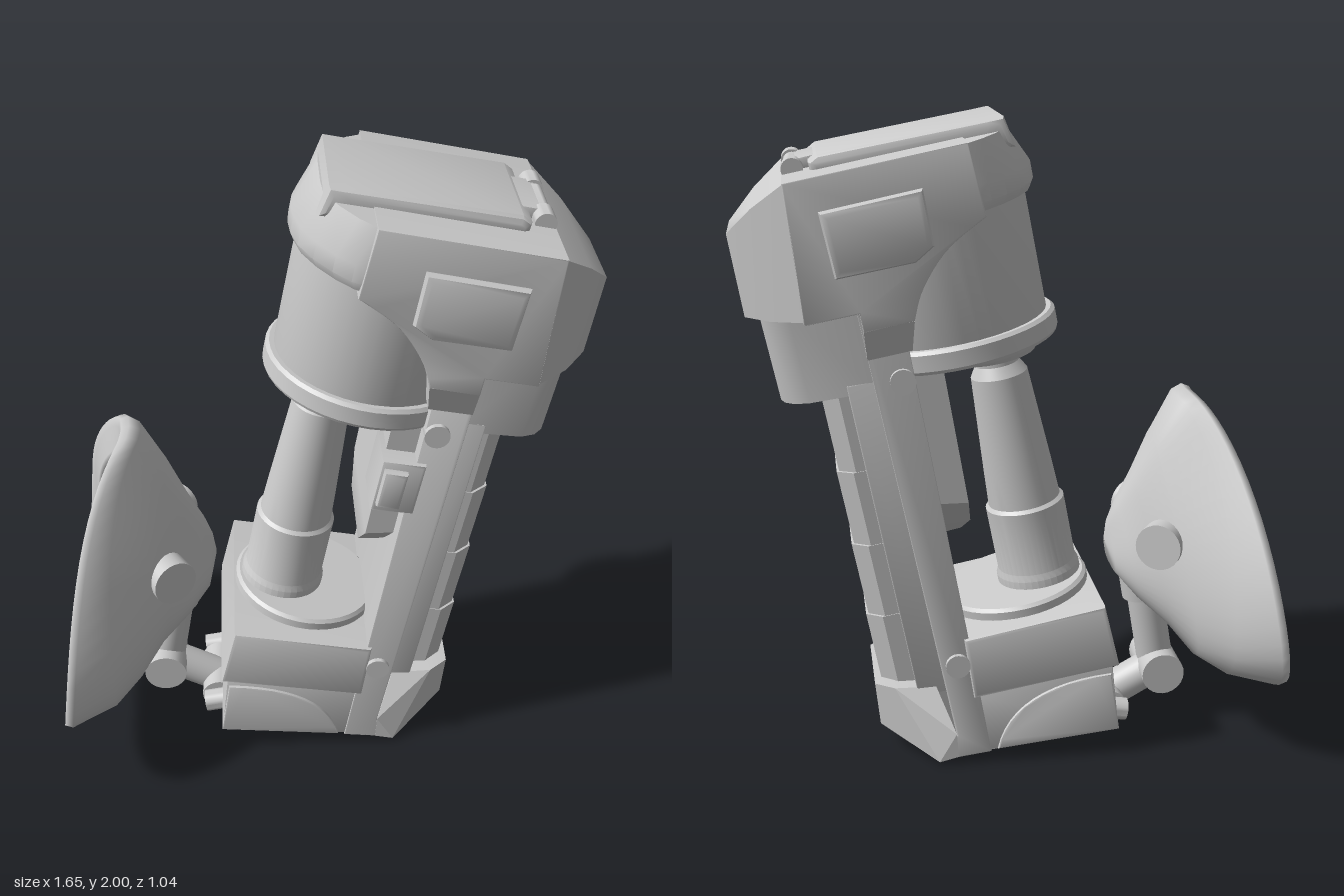
import * as THREE from 'three';
import { toCreasedNormals } from 'three/addons/utils/BufferGeometryUtils.js';
import { ConvexGeometry } from 'three/addons/geometries/ConvexGeometry.js';

const TILT = 0.19;
const mat = new THREE.MeshStandardMaterial({ color: 0xcccccc });
const shellMat = new THREE.MeshStandardMaterial({ color: 0xcccccc, side: THREE.DoubleSide });
const v2 = (p) => new THREE.Vector2(...p);

export function createModel() {
  const model = new THREE.Group();

  const add = (name, geo, crease = 0.6, m = mat) => {
    const mesh = new THREE.Mesh(crease ? toCreasedNormals(geo, crease) : geo, m);
    mesh.name = name;
    model.add(mesh);
    return mesh;
  };
  // side outline extruded from z0 to z1, chamfered by b
  const prism = (name, pts, z0, z1, b = 0.01) => {
    const geo = new THREE.ExtrudeGeometry(new THREE.Shape(pts.map(v2)), {
      depth: z1 - z0 - 2 * b, bevelEnabled: b > 0, bevelSize: b, bevelThickness: b, bevelOffset: -b, bevelSegments: 2,
    });
    geo.translate(0, 0, z0 + b);
    return add(name, geo);
  };
  // hull of points given as [x, y, half width]
  const hull = (name, pts, crease = 0.3) => add(name, new ConvexGeometry(pts.flatMap(([x, y, z]) =>
    [new THREE.Vector3(x, y, z), new THREE.Vector3(x, y, -z)])), crease);
  // lathe standing on a tilted axis; profile is [radius, height along axis]
  const lathe = (name, x, y, profile) => {
    const mesh = add(name, new THREE.LatheGeometry(profile.map(v2), 40), 0.4);
    mesh.position.set(x, y, 0);
    mesh.rotation.z = -TILT;
    return mesh;
  };
  // cylinder between two points
  const rod = (name, a, b, r0, r1 = r0) => {
    const p = new THREE.Vector3(...a), q = new THREE.Vector3(...b), d = q.clone().sub(p);
    const mesh = add(name, new THREE.CylinderGeometry(r1, r0, d.length(), 24));
    mesh.position.copy(p).add(q).multiplyScalar(0.5);
    mesh.quaternion.setFromUnitVectors(new THREE.Vector3(0, 1, 0), d.normalize());
    return mesh;
  };

  // head: side body with curved cutout, lower flare, sloping rounded cap and tapered nose
  const arc = new THREE.SplineCurve([[0.305, 1.45], [0.28, 1.54], [0.21, 1.65], [0.1, 1.74]].map(v2))
    .getPoints(14).map((p) => [p.x, p.y]);
  prism('head', [[0.15, 1.945], [0.66, 1.842], [0.615, 1.445], [0.46, 1.475], [0.45, 1.42], ...arc], -0.33, 0.33, 0.004);
  hull('headFlare', [[0.305, 1.45, 0.328], [0.45, 1.425, 0.328], [0.31, 1.355, 0.29], [0.44, 1.33, 0.29]]);
  hull('headNose', [[0.655, 1.842, 0.33], [0.615, 1.455, 0.33], [0.825, 1.675, 0.12], [0.785, 1.43, 0.12],
    [0.75, 1.76, 0.225], [0.71, 1.44, 0.235]], 0.9);
  const rim = [[0.3, 0.328], [0.14, 0.328], [0.09, 0.31], [0.04, 0.27], [-0.01, 0.21], [-0.05, 0.14], [-0.068, 0.07], [-0.073, 0.01]];
  const cap = hull('headCap', [
    ...rim.map(([x, z]) => [x + 0.015, -0.055, z * 0.98]),
    ...rim.map(([x, z]) => [x, -0.03, z]),
    ...rim.map(([x, z]) => [x, 0.02, z]),
    ...rim.map(([x, z]) => [Math.max(x + 0.03, -0.025), 0.09, z]),
    ...rim.map(([x, z]) => [Math.max(x + 0.04, -0.015), 0.136, z]),
  ], 0.55);
  cap.position.set(0, 1.83, 0);
  cap.rotation.z = -TILT;

  // hinged lid
  prism('lid', [[-0.005, 1.915], [0.03, 2], [0.08, 1.99], [0.56, 1.9], [0.585, 1.88], [0.575, 1.83], [0.1, 1.9]], -0.193, 0.193, 0.02);
  for (const [z, l, r] of [[-0.11, 0.07, 0.032], [0, 0.13, 0.026], [0.11, 0.07, 0.032]])
    rod('hingeKnuckle', [0.63, 1.857, z - l / 2], [0.63, 1.857, z + l / 2], r);
  prism('hingeLeaf', [[0.56, 1.895], [0.63, 1.88], [0.625, 1.845], [0.55, 1.855]], -0.1, 0.1, 0.005);

  // raised side panels
  for (const z of [-0.343, 0.343])
    prism('sidePanel', [[0.278, 1.825], [0.565, 1.765], [0.525, 1.578], [0.3, 1.62], [0.248, 1.665]], z - 0.022, z + 0.022, 0.02);

  // barrel under the head with collar ring
  lathe('barrel', 0.15, 1.33, [[0, -0.03], [0.27, -0.03], [0.285, 0.02], [0.285, 0.5], [0, 0.5]]);
  lathe('barrelRing', 0.15, 1.33, [[0.26, -0.035], [0.305, -0.03], [0.31, -0.02], [0.31, 0.03], [0.3, 0.04], [0.26, 0.04]]);
  lathe('lens', 0.04, 1.285, [[0, -0.022], [0.13, -0.022], [0.15, 0.01], [0.15, 0.06], [0, 0.06]]);

  // upright post with stepped foot
  lathe('post', -0.115, 0.5, [[0, -0.05], [0.135, -0.05], [0.135, 0.05], [0.127, 0.07], [0.127, 0.28], [0.116, 0.29],
    [0.11, 0.4], [0.09, 0.715], [0.07, 0.75], [0.07, 0.84]]);
  lathe('postDisc', -0.035, 0.48, [[0, -0.05], [0.235, -0.05], [0.235, 0.02], [0.225, 0.03], [0, 0.03]]);

  // base blocks
  prism('upperBase', [[-0.27, 0.52], [0.17, 0.435], [0.14, 0.235], [-0.32, 0.315]], -0.302, 0.302, 0.012);
  prism('lowerBase', [[-0.3, 0.32], [0.14, 0.24], [0.095, 0.04], [-0.325, 0.09]], -0.285, 0.285, 0.008);
  const sweep = new THREE.QuadraticBezierCurve(v2([-0.295, 0.285]), v2([0.02, 0.26]), v2([0.065, 0.05]))
    .getPoints(12).map((p) => [p.x, p.y]);
  prism('basePanel', [...sweep, [-0.325, 0.09]], -0.295, 0.295, 0.005);

  // handle column, rounded collar, rails, grip and foot
  prism('column', [[0.32, 1.36], [0.44, 1.42], [0.47, 1.49], [0.195, 0.105], [0.25, 0.02], [0.085, 0.04]], -0.29, 0.29, 0.005);
  hull('upperCollar', [[0, 0.1], [0.012, 0.14], [0.04, 0.175], [0.085, 0.195], [0.285, 0.2]].flatMap(([d, z]) =>
    [[0.745 - d, 1.435 + d * 0.17, z], [0.692 - d, 1.17 + d * 0.15, z]]), 0.7);
  for (const s of [-1, 1])
    prism('rail', [[0.38, 1.25], [0.5, 1.23], [0.305, 0.2], [0.2, 0.22]], s * 0.18 - 0.02, s * 0.18 + 0.02, 0.004);
  const gripX = (y) => 0.38 + 0.158 * y;
  const cuts = [0.18, 0.455, 0.695, 0.935, 1.2];
  for (let i = 0; i < 4; i++)
    hull('gripSegment', [[cuts[i], 0], [cuts[i + 1], 0.008]].flatMap(([y, grow]) => [[0, 0.1], [0.05, 0.148], [0.2, 0.148]]
      .map(([d, z]) => [gripX(y) + grow - d, y + d * 0.17, z + grow / 3])));
  hull('foot', [[0.19, 0.03, 0.291], [0.195, 0.11, 0.291], [0.25, 0.016, 0.291], [0.24, 0.19, 0.23],
    [0.25, 0.235, 0.2], [0.425, 0.085, 0.14], [0.44, 0.228, 0.14], [0.38, 0.235, 0.195]]);

  // pivot studs on both sides
  for (const [x, y] of [[0.34, 1.265], [0.19, 0.35]])
    rod('pivotStud', [x, y, -0.305], [x, y, 0.305], 0.038);

  // inner plate and side switch
  hull('innerPlate', [[0.22, 1.3, 0.24], [0.36, 1.3, 0.24], [0.145, 0.86, 0.23], [0.26, 0.86, 0.23],
    [0.13, 0.77, 0.14], [0.24, 0.77, 0.14], [0.15, 0.71, 0.05], [0.22, 0.695, 0.05]], 0.5);
  prism('switchPlate', [[0.185, 1.185], [0.315, 1.16], [0.28, 0.985], [0.15, 1.005]], 0.12, 0.305, 0.01);
  prism('switchButton', [[0.19, 1.16], [0.26, 1.145], [0.235, 1.02], [0.165, 1.035]], 0.29, 0.33, 0.012);

  // jointed arm carrying the eye cup
  prism('armBracket', [[-0.34, 0.1], [-0.21, 0.12], [-0.2, 0.07], [-0.27, 0.06], [-0.33, 0.02]], -0.08, 0.08, 0.01);
  for (const s of [-1, 1])
    rod('bracketStub', [-0.38, 0.075, s * 0.14], [-0.29, 0.09, s * 0.14], 0.036);
  rod('lowerJoint', [-0.335, 0.062, -0.1], [-0.335, 0.062, 0.1], 0.058);
  rod('lowerArm', [-0.5, 0.155, 0], [-0.34, 0.065, 0], 0.058);
  rod('elbowJoint', [-0.515, 0.17, -0.1], [-0.515, 0.17, 0.1], 0.07);
  rod('upperArm', [-0.51, 0.18, 0], [-0.455, 0.5, 0], 0.06);
  rod('armCollar', [-0.465, 0.425, 0], [-0.452, 0.5, 0], 0.073);
  for (const s of [-1, 1])
    rod('cupButton', [-0.505, 0.67, s * 0.13], [-0.45, 0.675, s * 0.222], 0.073);

  // eye cup: rings [topX, topY, bottomX, bottomY, half width], from inside the bowl over the rim to the nose
  const rings = [
    [-0.44, 0.68, -0.44, 0.6, 0.02], [-0.48, 0.82, -0.53, 0.5, 0.13], [-0.55, 0.95, -0.66, 0.4, 0.25],
    [-0.6, 1.0, -0.73, 0.36, 0.28], [-0.605, 1.02, -0.745, 0.345, 0.3], [-0.605, 1.09, -0.795, 0.265, 0.47],
    [-0.6, 1.12, -0.825, 0.243, 0.515], [-0.575, 1.13, -0.8, 0.235, 0.52], [-0.54, 1.115, -0.66, 0.25, 0.435],
    [-0.47, 0.98, -0.585, 0.28, 0.31], [-0.41, 0.85, -0.51, 0.37, 0.215], [-0.36, 0.755, -0.42, 0.45, 0.15],
    [-0.335, 0.69, -0.35, 0.53, 0.09], [-0.325, 0.63, -0.325, 0.62, 0.01],
  ];
  const N = 48, pos = [], idx = [];
  rings.forEach(([tx, ty, bx, by, w], i) => {
    for (let j = 0; j < N; j++) {
      const a = (j / N) * Math.PI * 2, c = Math.cos(a), s = Math.sin(a), k = (c + 1) / 2;
      const bow = i > 2 && i < 9 ? 0.095 * Math.abs(s) ** 1.4 * k : 0;
      pos.push(bx + (tx - bx) * k - bow, by + (ty - by) * k,
        w * Math.sign(s) * Math.abs(s) ** 0.52 * (1 - 0.6 * c) / 1.21);
      if (i) {
        const p = (i - 1) * N, q = i * N, n = (j + 1) % N;
        idx.push(p + j, p + n, q + j, p + n, q + n, q + j);
      }
    }
  });
  const cup = new THREE.BufferGeometry();
  cup.setAttribute('position', new THREE.Float32BufferAttribute(pos, 3));
  cup.setIndex(idx);
  cup.computeVertexNormals();
  add('eyeCup', cup, 0, shellMat);

  return model;
}
